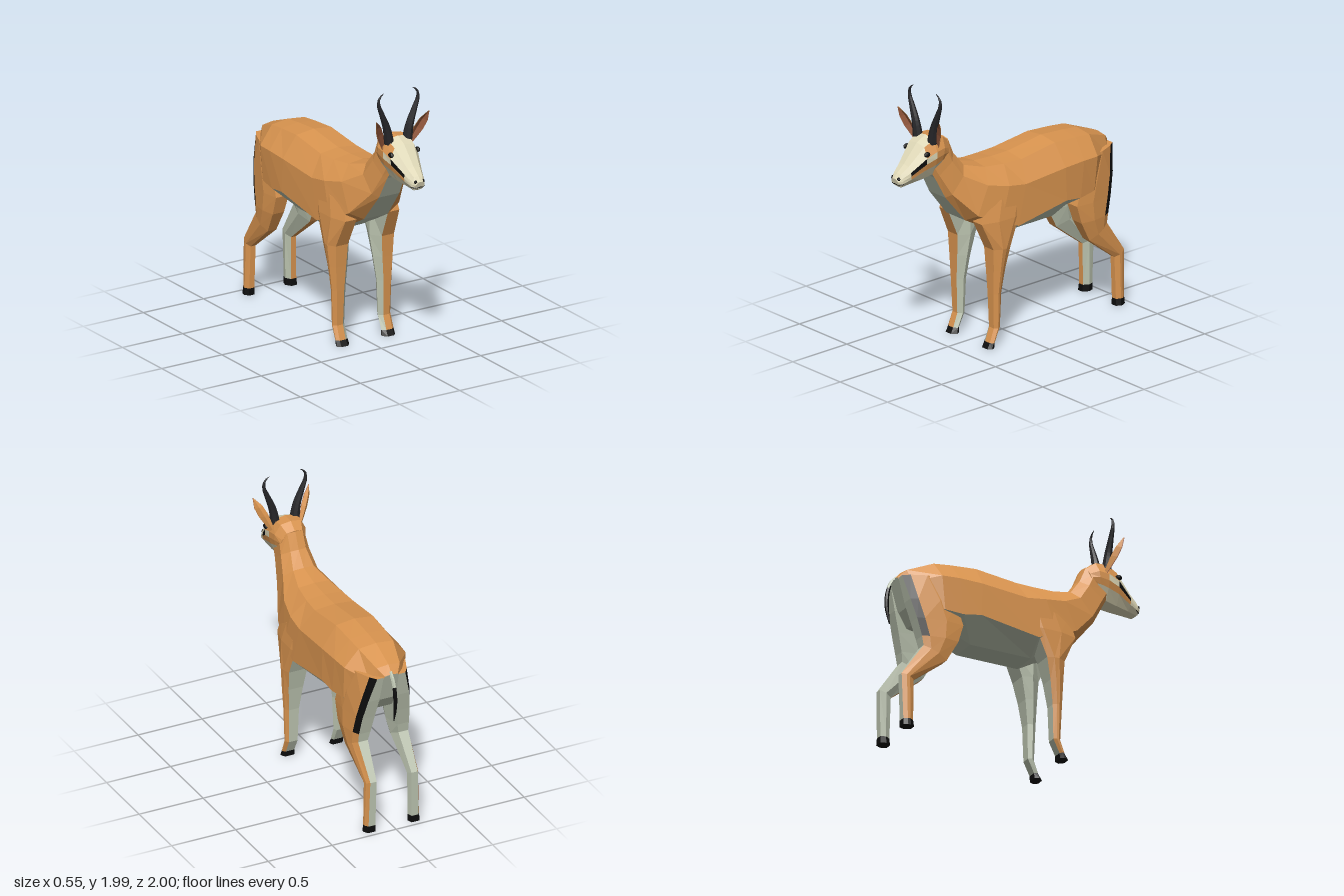
import * as THREE from 'three';

const C = { tan: 0xd9944f, pale: 0xbcc4b0, cream: 0xe0d9b8, black: 0x0c0c0c, horn: 0x252528, earInner: 0x94573a };

const mat = (key, side = THREE.FrontSide) =>
  new THREE.MeshStandardMaterial({ color: C[key], flatShading: true, side });

// Skin closed rings of points; paint(i, j) colours each facet, i = -1 / n are the end caps.
function loft(name, rings, paint, flip = false) {
  const group = new THREE.Group();
  group.name = name;
  const buckets = {};
  const tri = (key, a, b, c) => {
    const list = (buckets[key] ??= []);
    for (const p of flip ? [a, c, b] : [a, b, c]) list.push(...p);
  };
  const n = rings[0].length, last = rings.length - 1;
  const centre = r => [0, 1, 2].map(k => r.reduce((s, p) => s + p[k], 0) / n);
  const first = centre(rings[0]), end = centre(rings[last]);
  for (let j = 0; j < n; j++) {
    const k = (j + 1) % n;
    for (let i = 0; i < last; i++) {
      const key = paint(i, j);
      tri(key, rings[i][j], rings[i][k], rings[i + 1][k]);
      tri(key, rings[i][j], rings[i + 1][k], rings[i + 1][j]);
    }
    tri(paint(-1, j), first, rings[0][k], rings[0][j]);
    tri(paint(last, j), end, rings[last][j], rings[last][k]);
  }
  for (const key in buckets) {
    const g = new THREE.BufferGeometry();
    g.setAttribute('position', new THREE.Float32BufferAttribute(buckets[key], 3));
    g.computeVertexNormals();
    const m = new THREE.Mesh(g, mat(key));
    m.name = `${name} ${key}`;
    group.add(m);
  }
  return group;
}

// Symmetric ring between a top and a bottom point [z, y]; side = [halfWidth, fraction down].
function section(top, bottom, side) {
  const at = (x, t) => [x, top[1] + (bottom[1] - top[1]) * t, top[0] + (bottom[0] - top[0]) * t];
  return [at(0, 0), ...side.map(([w, t]) => at(w, t)), at(0, 1),
    ...side.map(([w, t]) => at(-w, t)).reverse()];
}

// Tube whose radius follows radius(u)
function taperedTube(name, key, points, radius, sides = 8, segs = 14) {
  const curve = new THREE.CatmullRomCurve3(points.map(p => new THREE.Vector3(...p)));
  const g = new THREE.TubeGeometry(curve, segs, 1, sides);
  const pos = g.attributes.position, v = new THREE.Vector3();
  for (let i = 0; i < pos.count; i++) {
    const u = Math.floor(i / (sides + 1)) / segs, c = curve.getPointAt(u);
    v.fromBufferAttribute(pos, i).sub(c).multiplyScalar(radius(u)).add(c);
    pos.setXYZ(i, v.x, v.y, v.z);
  }
  g.computeVertexNormals();
  const m = new THREE.Mesh(g, mat(key));
  m.name = name;
  return m;
}

function body() {
  // top, bottom, widths at spine edge / shoulder / flank / belly, flank fraction
  const rings = [
    [[.55, 1.60], [.74, 1.42], .06, .10, .09, .06, .88],
    [[.50, 1.48], [.69, 1.34], .06, .11, .10, .075, .88],
    [[.42, 1.375], [.60, 1.17], .08, .135, .13, .085, .86],
    [[.26, 1.335], [.43, .96], .12, .21, .21, .10, .85],
    [[.10, 1.325], [.25, .86], .14, .245, .255, .10, .85],
    [[-.05, 1.325], [.10, .78], .15, .25, .262, .10, .83],
    [[-.36, 1.365], [-.38, .78], .145, .255, .26, .10, .72],
    [[-.56, 1.35], [-.50, .83], .14, .25, .25, .10, .82],
    [[-.69, 1.335], [-.64, .85], .135, .24, .235, .09, .82],
    [[-.88, 1.26], [-.79, .88], .09, .135, .14, .07, .8],
    [[-.93, 1.205], [-.86, .98], .05, .075, .08, .05, .8],
  ].map(([t, b, w0, w1, w2, w3, f]) => section(t, b, [[w0, .03], [w1, .3], [w2, f], [w3, 1]]));
  return loft('body', rings, (i, j) => {
    const col = Math.min(j, 9 - j);           // 0 back ... 4 belly
    if (i === 10) return 'pale';
    return col === 4 || (col === 3 && i >= 4) ? 'pale' : 'tan';
  });
}

function head() {
  // nose to nape: top, bottom, widths from crown to jaw
  const rings = [
    [[1.0, 1.395], [.985, 1.34], .02, .035, .037, .035, .02],
    [[.97, 1.43], [.965, 1.325], .035, .05, .055, .055, .035],
    [[.91, 1.48], [.90, 1.335], .05, .072, .076, .072, .045],
    [[.79, 1.61], [.80, 1.345], .08, .115, .112, .10, .06],
    [[.71, 1.65], [.71, 1.36], .09, .125, .125, .112, .07],
    [[.62, 1.65], [.66, 1.385], .08, .12, .12, .108, .07],
    [[.56, 1.60], [.60, 1.42], .06, .09, .10, .09, .06],
  ].map(([t, b, ...w]) => section(t, b, w.map((x, k) => [x, [.05, .33, .5, .68, .97][k]])));
  return loft('head', rings, (i, j) => {
    const col = Math.min(j, 11 - j);          // 0 face ... 5 throat
    if (col >= 4 || i < 1) return 'cream';
    if (i >= 4) return 'tan';
    if (i === 3) return col === 0 || col === 2 ? 'cream' : 'tan';
    if (col === 2) return i === 2 ? 'black' : 'cream';
    return col === 3 && i === 2 ? 'tan' : 'cream';
  });
}

// Leg rings: front y, z; back y, z; inner x; outer x at front and back
function leg(name, s, rows, paint) {
  const rings = rows.map(([yf, zf, yb, zb, xi, xf, xb]) => {
    const d = zf - zb, k = Math.min(.05 / d, .35), w = xf - xi;
    const at = (x, t) => [s * x, yb + (yf - yb) * t, zb + d * t];
    const out = (t, bulge) => at(xb + (xf - xb) * t + bulge, t);
    return [at(xi + w * .3, 1), at(xf - w * .15, 1), out(.6, .008), out(k, .006),
      at(xb - .01, 0), at(xi + w * .15, 0), at(xi, .5)];
  });
  return loft(name, rings, paint, s > 0);
}

const foreRows = [
  [1.10, .34, 1.10, .02, .08, .23, .24],
  [.95, .385, .95, .06, .08, .25, .26],
  [.74, .29, .74, .145, .085, .27, .265],
  [.58, .283, .58, .18, .105, .258, .25],
  [.40, .278, .40, .205, .13, .242, .235],
  [.14, .268, .14, .213, .14, .232, .23],
  [.04, .305, .04, .262, .142, .232, .23],
  [0, .33, 0, .265, .135, .235, .232],
];
const hindRows = [
  [1.19, -.66, 1.19, -.925, .03, .225, .12],
  [1.0, -.55, 1.0, -.885, .04, .25, .17],
  [.85, -.50, .85, -.845, .06, .252, .195],
  [.715, -.54, .715, -.812, .08, .25, .205],
  [.56, -.625, .645, -.80, .10, .23, .205],
  [.365, -.875, .40, -.968, .125, .20, .195],
  [.05, -.883, .05, -.96, .13, .207, .205],
  [0, -.878, 0, -.962, .128, .212, .21],
];

function ear(s) {
  const base = new THREE.Vector3(.10, 1.55, .68), tip = new THREE.Vector3(.218, 1.81, .77);
  const group = new THREE.Group();
  group.name = s > 0 ? 'left ear' : 'right ear';
  // shallow cupped leaf, a tan shell with a darker lining
  for (const [key, lift] of [['tan', 0], ['earInner', .006]]) {
    const pos = [], idx = [];
    [.012, .024, .034, .03, .002].forEach((w, i) => {
      const c = base.clone().lerp(tip, i / 4);
      for (const e of [-1, 0, 1])
        pos.push(s * (c.x + e * w * .85), c.y - e * w * .35, c.z + e * w * .3 - (e ? 0 : w * .6) + lift);
      if (i < 4) for (const k of [0, 1]) {
        const a = i * 3 + k;
        idx.push(a, a + 1, a + 4, a, a + 4, a + 3);
      }
    });
    const g = new THREE.BufferGeometry();
    g.setAttribute('position', new THREE.Float32BufferAttribute(pos, 3));
    g.setIndex(idx);
    g.computeVertexNormals();
    const m = new THREE.Mesh(g, mat(key, THREE.DoubleSide));
    m.name = key === 'tan' ? 'ear shell' : 'ear lining';
    group.add(m);
  }
  return group;
}

export function createModel() {
  const model = new THREE.Group();
  model.name = 'antelope';
  model.add(body(), head());

  for (const s of [1, -1]) {
    const side = s > 0 ? 'left' : 'right';
    model.add(leg(`${side} front leg`, s, foreRows,
      (i, j) => (i >= 6 ? 'black' : j < 4 ? 'tan' : 'pale')));
    // the dark flank stripe runs down the rear edge of the thigh
    model.add(leg(`${side} hind leg`, s, hindRows,
      (i, j) => (i >= 6 || (j === 3 && i >= 0 && i < 3) ? 'black' : j < 4 || i < 0 ? 'tan' : 'pale')));
    model.add(ear(s));

    // horn bows outward, then hooks back in at the tip
    model.add(taperedTube(`${side} horn`, 'horn',
      [[.075, 1.61, .712], [.095, 1.72, .715], [.135, 1.83, .715], [.163, 1.91, .715], [.155, 1.96, .715], [.118, 1.988, .715]]
        .map(([x, y, z]) => [s * x, y, z]),
      u => .036 * (1 - u) ** .8 + .001));

    const eye = new THREE.Mesh(new THREE.SphereGeometry(.024, 8, 6), mat('black'));
    eye.name = `${side} eye`;
    eye.scale.set(.7, .8, 1.1);
    eye.position.set(s * .11, 1.55, .79);
    const nostril = new THREE.Mesh(new THREE.SphereGeometry(.014, 6, 4), mat('black'));
    nostril.name = `${side} nostril`;
    nostril.position.set(s * .03, 1.393, .983);
    const lip = taperedTube(`${side} mouth line`, 'black',
      [[0, 1.352, .99], [s * .037, 1.35, .983], [s * .057, 1.358, .955]], () => .004, 4, 6);
    model.add(eye, nostril, lip);
  }

  // tail: pale root and dark hanging tuft
  model.add(taperedTube('tail root', 'pale',
    [[0, 1.215, -.91], [0, 1.18, -.945], [0, 1.12, -.975]], () => .014, 6, 5));
  model.add(taperedTube('tail tuft', 'black',
    [[0, 1.17, -.953], [0, 1.09, -.98], [0, .98, -.987], [0, .85, -.965]],
    u => .012 + .004 * Math.sin(u * Math.PI) - .009 * u ** 4, 6, 10));
  return model;
}
